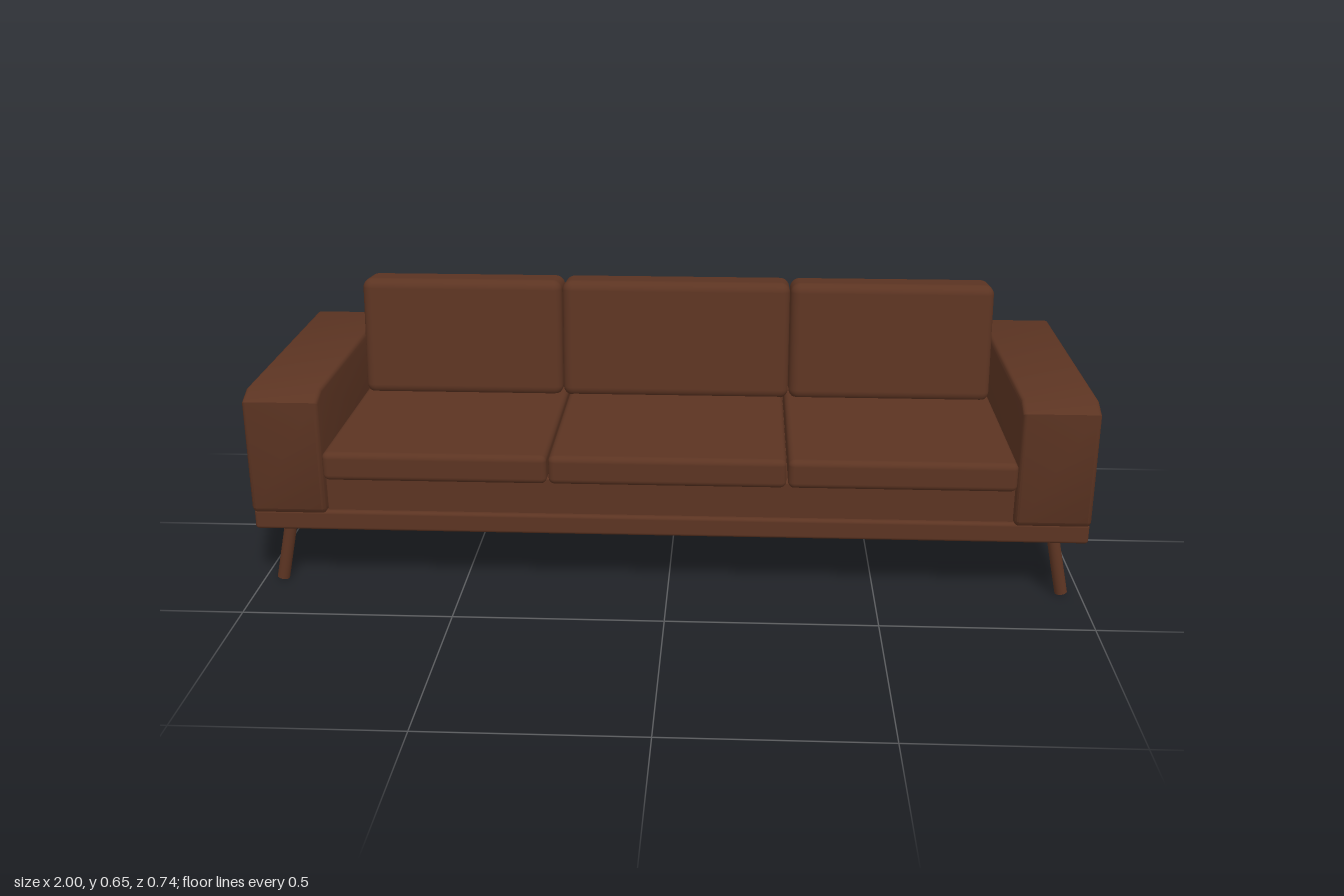
import * as THREE from 'three';
import { RoundedBoxGeometry } from 'three/addons/geometries/RoundedBoxGeometry.js';
import { toCreasedNormals } from 'three/addons/utils/BufferGeometryUtils.js';

export function createModel() {
  const sofa = new THREE.Group();
  sofa.name = 'sofa';
  const brown = new THREE.MeshStandardMaterial({ color: 0x5c3422 });
  brown.name = 'brown leather';

  const add = (name, geometry) => {
    const mesh = new THREE.Mesh(geometry, brown);
    mesh.name = name;
    sofa.add(mesh);
    return mesh;
  };
  // Rounded block given by its limits on each axis
  const block = (name, [x0, x1], [y0, y1], [z0, z1], radius, segments = 3) => {
    const mesh = add(name, new RoundedBoxGeometry(x1 - x0, y1 - y0, z1 - z0, segments, radius));
    mesh.position.set((x0 + x1) / 2, (y0 + y1) / 2, (z0 + z1) / 2);
    return mesh;
  };

  // Frame
  block('basePlatform', [-1, 1], [0.15, 0.2], [-0.37, 0.352], 0.008);
  block('seatDeck', [-0.822, 0.822], [0.195, 0.29], [-0.3, 0.34], 0.004, 1);
  block('backRest', [-0.825, 0.825], [0.195, 0.562], [-0.37, -0.212], 0.005, 2);

  // Cushions, left to right
  const seatSpans = [[-0.82, -0.285], [-0.281, 0.281], [0.285, 0.82]];
  const backSpans = [[-0.815, -0.296], [-0.294, 0.294], [0.296, 0.815]];
  ['right', 'middle', 'left'].forEach((side, i) => {
    block(side + 'SeatCushion', seatSpans[i], [0.286, 0.357], [-0.215, 0.371], 0.015);
    const back = block(side + 'BackCushion', backSpans[i], [0.345, 0.65], [-0.209, -0.087], 0.025, 5);
    back.rotation.x = -0.1;
  });

  // Armrest side profile with sloped upper corners, extruded across its width
  const profile = new THREE.Shape([
    [-0.365, 0.21], [-0.356, 0.198], [0.362, 0.198], [0.37, 0.21],
    [0.37, 0.481], [0.322, 0.502], [-0.318, 0.502], [-0.365, 0.481],
  ].map(([u, y]) => new THREE.Vector2(u, y)));
  const bevel = 0.01;
  const armGeometry = toCreasedNormals(new THREE.ExtrudeGeometry(profile, {
    depth: 0.18 - 2 * bevel, bevelThickness: bevel, bevelSize: bevel,
    bevelOffset: -bevel, bevelSegments: 3,
  }).translate(0, 0, -0.09 + bevel).rotateY(Math.PI / 2), 0.65);

  // Arms and splayed legs on both sides
  for (const side of [-1, 1]) {
    const label = side > 0 ? 'left' : 'right';
    add(label + 'Arm', armGeometry).position.x = side * 0.91;
    for (const [end, z] of [['Front', 0.312], ['Back', -0.335]]) {
      const leg = add(label + end + 'Leg', new THREE.CylinderGeometry(0.015, 0.015, 0.165, 20));
      leg.position.set(side * 0.938, 0.0845, z);
      leg.rotation.z = side * 0.21;
    }
  }
  return sofa;
}
